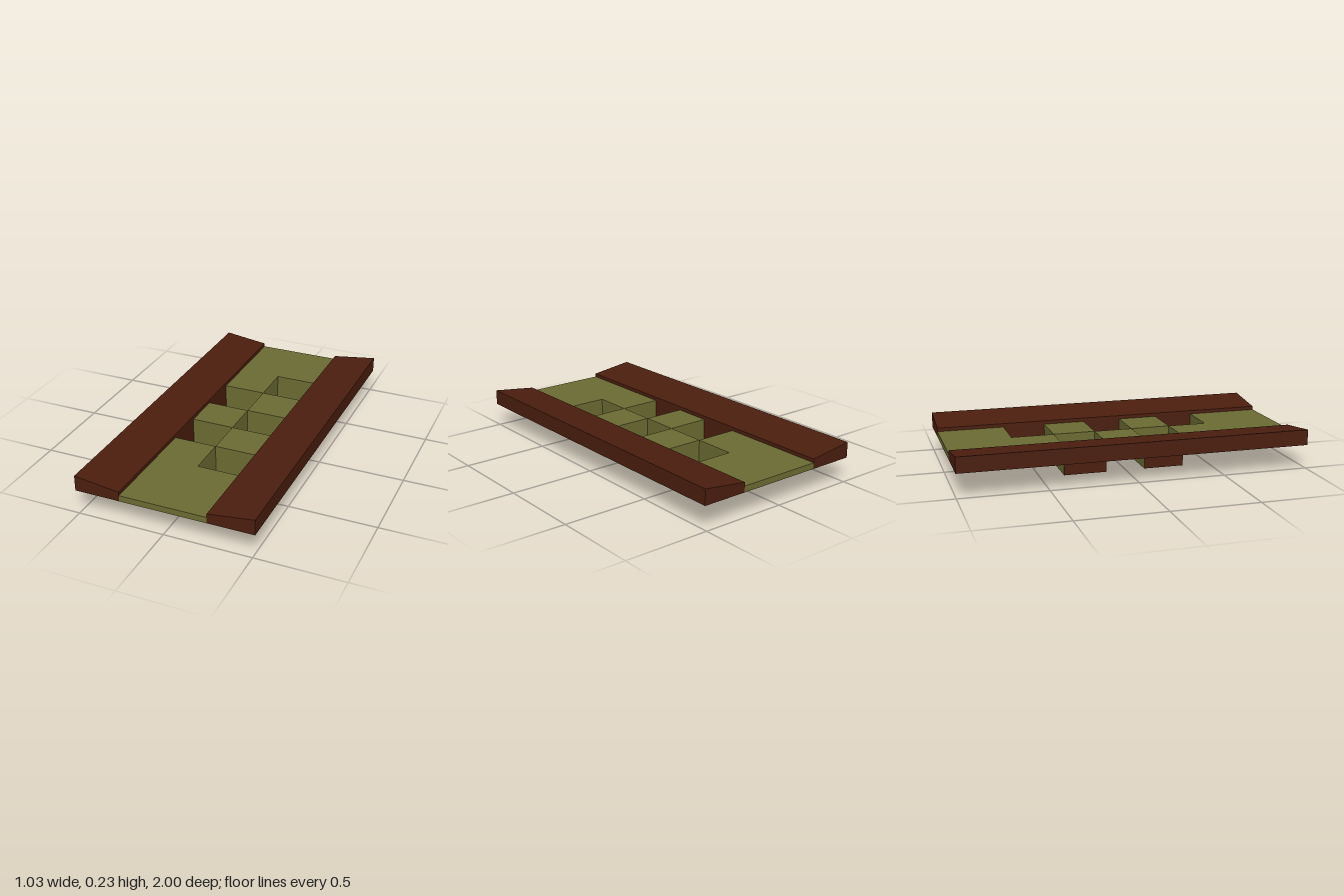
import * as THREE from 'three';

const material = (color) => new THREE.MeshStandardMaterial({ color, flatShading: true, side: THREE.DoubleSide });

const BOTTOM = 0.14, TOP = 0.175;   // deck underside and surface
const HALF = 0.25, OUTER = 0.513;   // half widths of deck and rails
const CUTS = [-0.61, -0.362, -0.116, 0.11, 0.344, 0.575]; // z limits of the staggered pits

export function createModel() {
  const group = new THREE.Group();
  const olive = material(0x6b6b33);
  const brown = material(0x4b1e0e);
  const green = material(0x2ac810);

  function add(name, geometry, mat, parent = group) {
    const mesh = new THREE.Mesh(geometry, mat);
    mesh.name = name;
    parent.add(mesh);
    return mesh;
  }

  // Side rails: wedge section rising outwards, run along z
  for (const s of [1, -1]) {
    const section = new THREE.Shape([
      [HALF, BOTTOM], [OUTER, BOTTOM], [OUTER, 0.23], [HALF, 0.196],
    ].map(([x, y]) => new THREE.Vector2(s * x, y)));
    const rail = new THREE.ExtrudeGeometry(section, { depth: 2, bevelEnabled: false });
    add(s > 0 ? 'leftRail' : 'rightRail', rail.translate(0, 0, -1), brown);
  }

  // Deck pieces: plan outline in x, z extruded downwards
  function deck(name, outline) {
    const shape = new THREE.Shape(outline.map(([x, z]) => new THREE.Vector2(x, z)));
    const geometry = new THREE.ExtrudeGeometry(shape, { depth: TOP - BOTTOM, bevelEnabled: false });
    add(name, geometry.rotateX(Math.PI / 2).translate(0, TOP, 0), olive);
  }
  // End slabs each keep a tile beside the first and last pit
  deck('backDeck', [[-HALF, -1], [HALF, -1], [HALF, CUTS[0]], [0, CUTS[0]], [0, CUTS[1]], [-HALF, CUTS[1]]]);
  deck('frontDeck', [[-HALF, 1], [HALF, 1], [HALF, CUTS[5]], [0, CUTS[5]], [0, CUTS[4]], [-HALF, CUTS[4]]]);

  for (let i = 0; i < 5; i++) {
    const s = i % 2 ? -1 : 1; // side of the pit
    const z0 = CUTS[i], z1 = CUTS[i + 1], zMid = (z0 + z1) / 2, length = z1 - z0;

    // Tile opposite each middle pit
    if (i > 0 && i < 4) deck('deckTile', [[0, z0], [-s * HALF, z0], [-s * HALF, z1], [0, z1]]);

    // Open pit: floor, two cross walls, inner wall and brown outer wall
    const pit = new THREE.Group();
    pit.name = 'pit';
    group.add(pit);
    const floor = new THREE.PlaneGeometry(HALF, length).rotateX(-Math.PI / 2);
    add('pitFloor', floor.translate(s * HALF / 2, 0, zMid), green, pit);
    for (const z of [z0, z1]) {
      const wall = new THREE.PlaneGeometry(HALF, BOTTOM);
      if (z === z0) wall.rotateY(Math.PI);
      add('pitCrossWall', wall.translate(s * HALF / 2, BOTTOM / 2, z), olive, pit);
    }
    for (const [name, x, mat, turn] of [['pitInnerWall', 0, olive, -s], ['pitOuterWall', s * HALF, brown, s]]) {
      const wall = new THREE.PlaneGeometry(length, BOTTOM).rotateY(turn * Math.PI / 2);
      add(name, wall.translate(x, BOTTOM / 2, zMid), mat, pit);
    }
  }
  return group;
}
